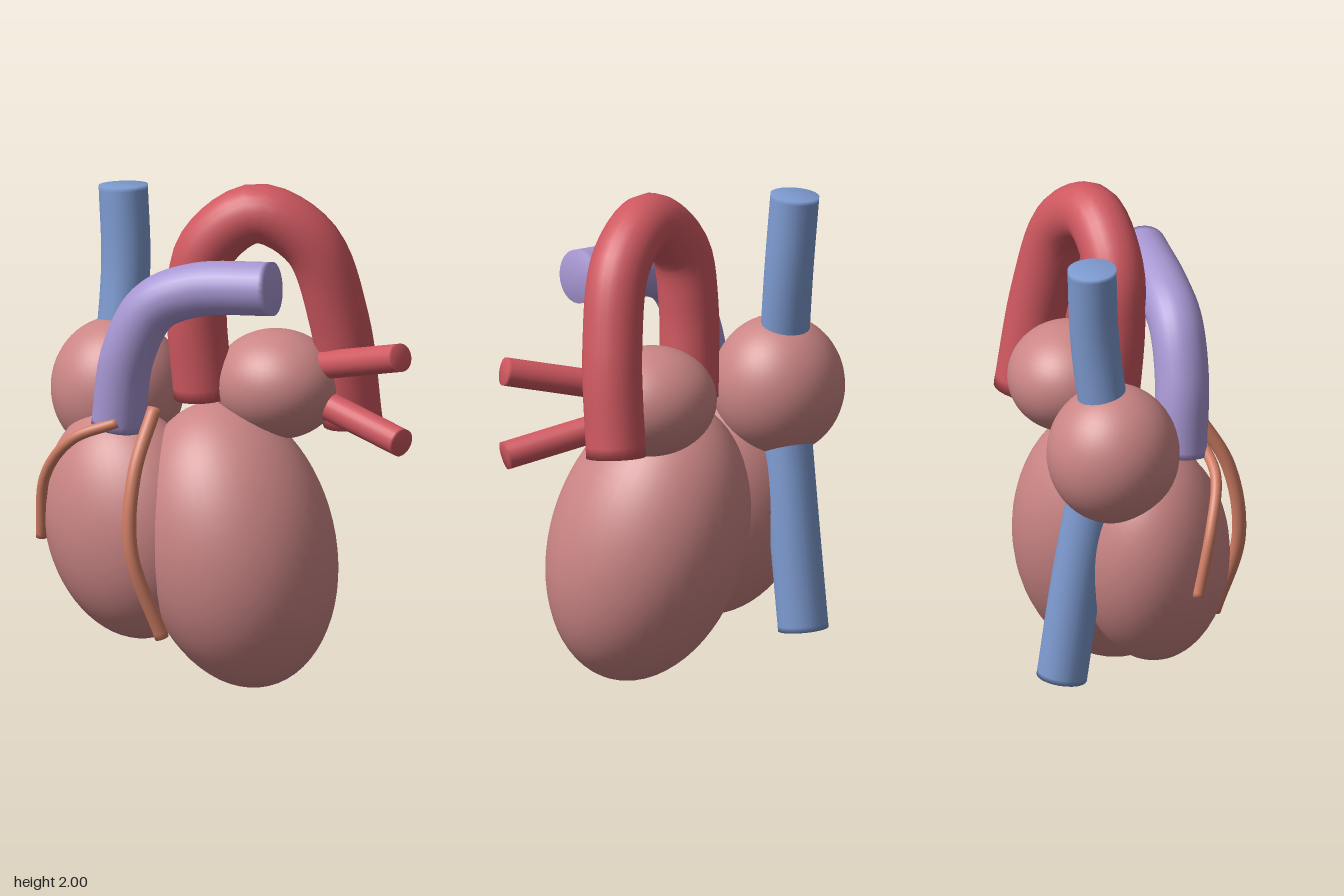
import * as THREE from 'three';
import { mergeVertices } from 'three/addons/utils/BufferGeometryUtils.js';

const material = (name, color) => {
  const m = new THREE.MeshStandardMaterial({ color });
  m.name = name;
  return m;
};

// Capped tube through a few points, with softly shaded ends
function vesselGeometry(points, radius, segments = 40, sides = 24) {
  const curve = new THREE.CatmullRomCurve3(points.map((p) => new THREE.Vector3(...p)));
  const tube = new THREE.TubeGeometry(curve, segments, radius, sides);
  const positions = Array.from(tube.attributes.position.array);
  const index = Array.from(tube.index.array);
  const start = positions.length / 3;
  const lastRing = segments * (sides + 1);
  positions.push(...points[0], ...points[points.length - 1]);
  for (let i = 0; i < sides; i++) {
    index.push(i, i + 1, start);
    index.push(lastRing + i + 1, lastRing + i, start + 1);
  }
  const raw = new THREE.BufferGeometry();
  raw.setAttribute('position', new THREE.Float32BufferAttribute(positions, 3));
  raw.setIndex(index);
  const geometry = mergeVertices(raw, 1e-5);
  geometry.computeVertexNormals();
  return geometry;
}

export function createModel() {
  const model = new THREE.Group();
  model.name = 'heart';

  const muscle = material('heart muscle', 0xcb8585);
  const arterial = material('arterial red', 0xcf5860);
  const venous = material('venous blue', 0x7d9ad0);
  const pulmonary = material('pulmonary violet', 0xa796d2);
  const coronary = material('coronary orange', 0xd07d64);

  const add = (name, geometry, mat) => {
    const mesh = new THREE.Mesh(geometry, mat);
    mesh.name = name;
    model.add(mesh);
    return mesh;
  };

  // Chambers: ellipsoids, the ventricles leaning toward the apex
  const chamber = (name, center, radii, lean = 0) => {
    const mesh = add(name, new THREE.SphereGeometry(1, 48, 32), muscle);
    mesh.position.set(...center);
    mesh.scale.set(...radii);
    mesh.rotation.z = lean;
  };
  chamber('leftVentricle', [0.07, 0.56, -0.02], [0.386, 0.573, 0.395], 0.3);
  chamber('rightVentricle', [-0.31, 0.63, 0.18], [0.361, 0.467, 0.3], 0.28);
  chamber('rightAtrium', [-0.497, 1.12, 0.04], [0.263, 0.28, 0.262]);
  chamber('leftAtrium', [0.125, 1.183, -0.2], [0.262, 0.217, 0.24]);

  const vessel = (name, mat, radius, points) =>
    add(name, vesselGeometry(points, radius), mat);

  // Great vessels
  vessel('aorta', arterial, 0.118, [
    [-0.1, 1.13, -0.02], [-0.11, 1.5, 0.01], [-0.07, 1.73, 0.0], [0.1, 1.882, -0.1],
    [0.265, 1.77, -0.235], [0.335, 1.45, -0.33], [0.345, 1.03, -0.4],
  ]);
  vessel('pulmonaryArtery', pulmonary, 0.107, [
    [-0.285, 1.035, 0.28], [-0.23, 1.33, 0.285], [-0.13, 1.53, 0.25],
    [0.03, 1.61, 0.18], [0.335, 1.64, 0.065],
  ]);
  vessel('superiorVenaCava', venous, 0.097, [
    [-0.537, 1.915, -0.04], [-0.515, 1.6, -0.03], [-0.51, 1.2, 0.02],
  ]);
  vessel('inferiorVenaCava', venous, 0.1, [
    [-0.5, 1.0, -0.03], [-0.51, 0.6, -0.1], [-0.528, 0.17, -0.16],
  ]);

  // Pulmonary veins
  vessel('upperPulmonaryVein', arterial, 0.056, [[0.2, 1.25, -0.26], [0.75, 1.375, -0.225]]);
  vessel('lowerPulmonaryVein', arterial, 0.056, [[0.2, 1.15, -0.26], [0.75, 1.03, -0.23]]);

  // Coronary arteries
  vessel('frontCoronaryArtery', coronary, 0.028, [
    [-0.07, 1.14, 0.31], [-0.053, 0.9, 0.45], [-0.035, 0.6, 0.49], [0.035, 0.245, 0.385],
  ]);
  vessel('rightCoronaryArtery', coronary, 0.022, [
    [-0.22, 1.07, 0.36], [-0.39, 0.99, 0.435], [-0.535, 0.82, 0.43], [-0.593, 0.56, 0.385],
  ]);

  return model;
}
